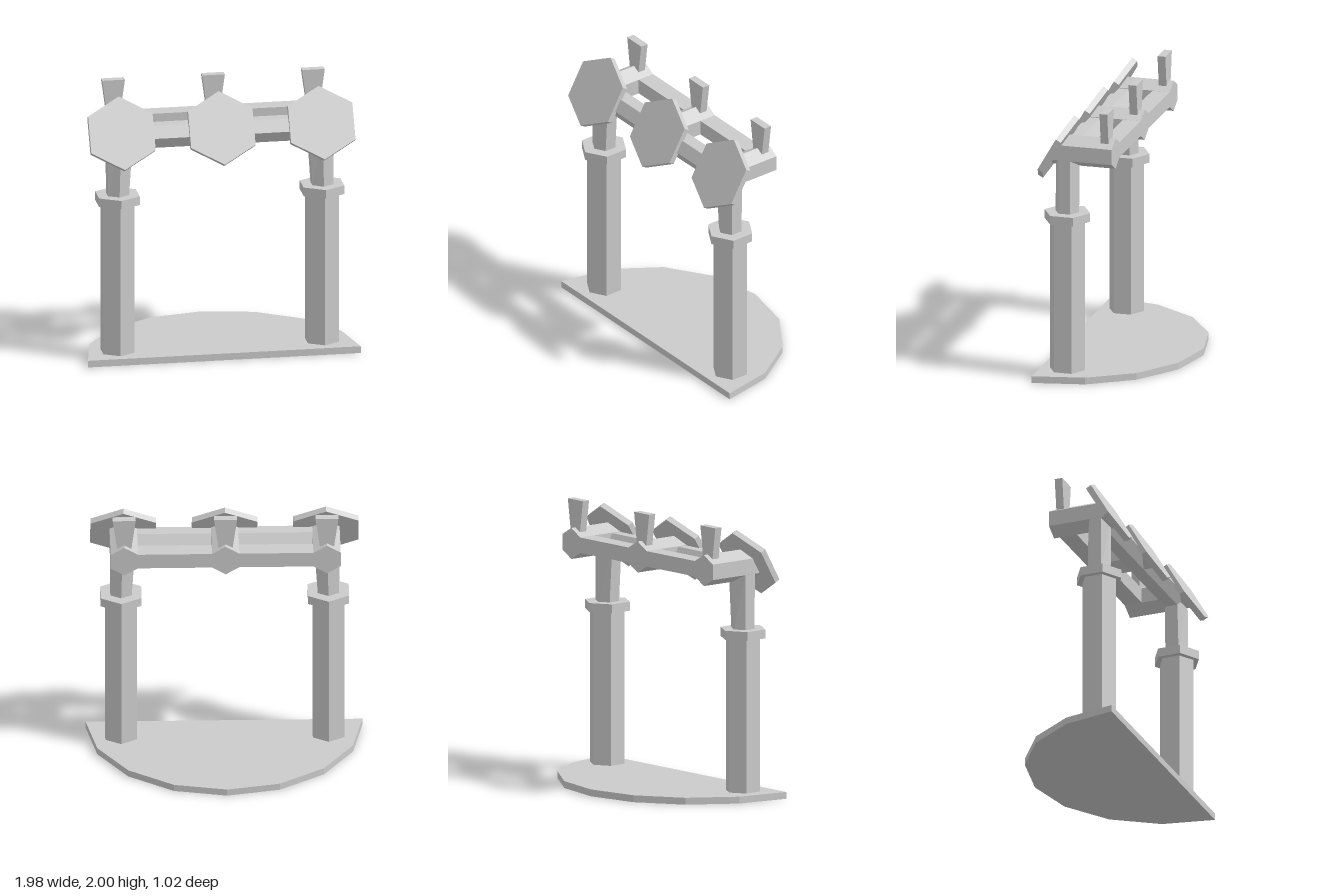
import * as THREE from 'three';

const material = new THREE.MeshStandardMaterial({ color: 0xcccccc, flatShading: true });

function add(parent, name, geometry, x = 0, y = 0, z = 0) {
  const mesh = new THREE.Mesh(geometry, material);
  mesh.name = name;
  mesh.position.set(x, y, z);
  parent.add(mesh);
  return mesh;
}

// Six-sided prism, corners pointing along +z and -z
const hexPrism = (radius, height) => new THREE.CylinderGeometry(radius, radius, height, 6);

// Apply a rule to every vertex of a geometry
function moveVertices(geometry, rule) {
  const p = geometry.attributes.position;
  const v = new THREE.Vector3();
  for (let i = 0; i < p.count; i++) {
    rule(v.fromBufferAttribute(p, i));
    p.setXYZ(i, v.x, v.y, v.z);
  }
  geometry.computeVertexNormals();
  return geometry;
}

// Half-disc slab with eight facets round the back
function baseGeometry() {
  const points = [];
  for (let i = 0; i <= 8; i++) {
    const a = (i / 8) * Math.PI;
    points.push(new THREE.Vector2(0.99 * Math.cos(a), 0.99 * Math.sin(a) - 0.48));
  }
  return new THREE.ExtrudeGeometry(new THREE.Shape(points), { depth: 0.05, bevelEnabled: false })
    .rotateX(-Math.PI / 2);
}

// Arm running front to back, its front end cut to meet the tilted panel
function armGeometry() {
  const g = hexPrism(0.113, 0.4).rotateX(Math.PI / 2).translate(0, 1.687, 0.13);
  return moveVertices(g, (v) => {
    if (v.z > 0.1) v.z = 0.342 + (1.69 - v.y) * Math.tan(Math.PI / 6);
  });
}

export function createModel() {
  const model = new THREE.Group();
  model.name = 'gateStand';

  add(model, 'base', baseGeometry());

  // Columns, collars and upper posts
  for (const side of [-1, 1]) {
    const column = new THREE.Group();
    column.name = side > 0 ? 'leftColumn' : 'rightColumn';
    column.position.set(side * 0.742, 0, 0.285);
    model.add(column);
    add(column, 'shaft', hexPrism(0.13, 1.13), 0, 0.605, 0);
    add(column, 'collar', hexPrism(0.17, 0.065), 0, 1.1975, 0);
    // The post widens and leans slightly inward to meet the arm
    const post = moveVertices(hexPrism(0.088, 0.42), (v) => {
      if (v.y > 0) v.x = v.x * 1.2 - side * 0.012;
    });
    add(column, 'upperPost', post, 0, 1.43, 0);
  }

  // Rails joining the arms
  add(model, 'frontRail', hexPrism(0.095, 1.45).rotateZ(Math.PI / 2), 0, 1.657, 0.28);
  add(model, 'backRail', new THREE.BoxGeometry(1.45, 0.112, 0.13), 0, 1.687, -0.005);

  // Three arms, each with a tilted panel in front and a flared fin on top
  [-0.725, 0, 0.725].forEach((x, i) => {
    const unit = new THREE.Group();
    unit.name = ['rightHead', 'middleHead', 'leftHead'][i];
    unit.position.x = x;
    model.add(unit);
    add(unit, 'arm', armGeometry());
    add(unit, 'panel', hexPrism(0.27, 0.043).rotateX(Math.PI / 3), 0, 1.702, 0.356);
    const fin = moveVertices(new THREE.BoxGeometry(0.165, 0.25, 0.058), (v) => {
      if (v.y < 0) v.x *= 0.58;
    });
    add(unit, 'fin', fin, 0, 1.875, -0.003);
  });

  return model;
}
